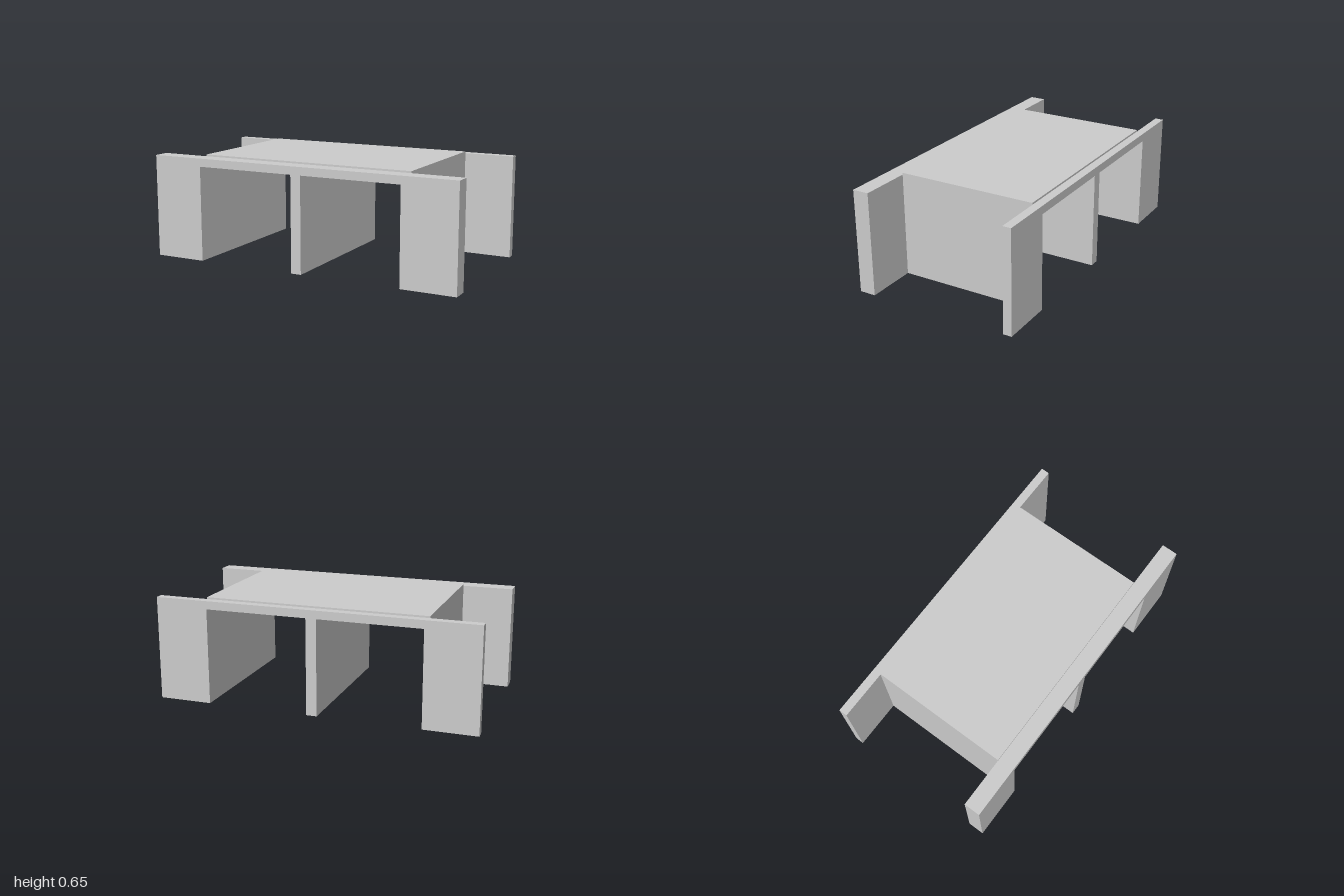
import * as THREE from 'three';

const material = new THREE.MeshStandardMaterial({ color: 0xcccccc, flatShading: true });

// Opening shared by both end walls
const LEFT = 0.66, RIGHT = -0.67, CEILING = 0.59;

// Box given by its lower and upper bounds on each axis
function block(name, [x0, x1], [y0, y1], [z0, z1]) {
  const mesh = new THREE.Mesh(new THREE.BoxGeometry(x1 - x0, y1 - y0, z1 - z0), material);
  mesh.position.set((x0 + x1) / 2, (y0 + y1) / 2, (z0 + z1) / 2);
  mesh.name = name;
  return mesh;
}

// Portal wall: two wings joined by a lintel above the opening
function endWall(name, x0, x1, z0, z1) {
  const outline = [
    [x0, 0], [RIGHT, 0], [RIGHT, CEILING], [LEFT, CEILING],
    [LEFT, 0], [x1, 0], [x1, 0.64], [x0, 0.64],
  ].map(([x, y]) => new THREE.Vector2(x, y));
  const geometry = new THREE.ExtrudeGeometry(new THREE.Shape(outline), {
    depth: z1 - z0, bevelEnabled: false,
  });
  geometry.translate(0, 0, z0);
  const mesh = new THREE.Mesh(geometry, material);
  mesh.name = name;
  return mesh;
}

export function createModel() {
  const model = new THREE.Group();
  model.name = 'twinCulvert';
  const barrel = [-0.455, 0.407];

  model.add(
    // End walls
    endWall('frontWall', -1, 1, 0.407, 0.508),
    endWall('backWall', -1, 0.99, -0.508, -0.455),
    // Roof slab and thin side walls between the end walls
    block('roofSlab', [-0.69, 0.68], [CEILING, 0.651], barrel),
    block('rightSideWall', [-0.69, RIGHT], [0, CEILING], barrel),
    block('leftSideWall', [LEFT, 0.68], [0, CEILING], barrel),
    // Central pier, flush with both outer faces
    block('centrePier', [-0.035, 0.03], [0, CEILING], [-0.508, 0.508]),
  );
  return model;
}
